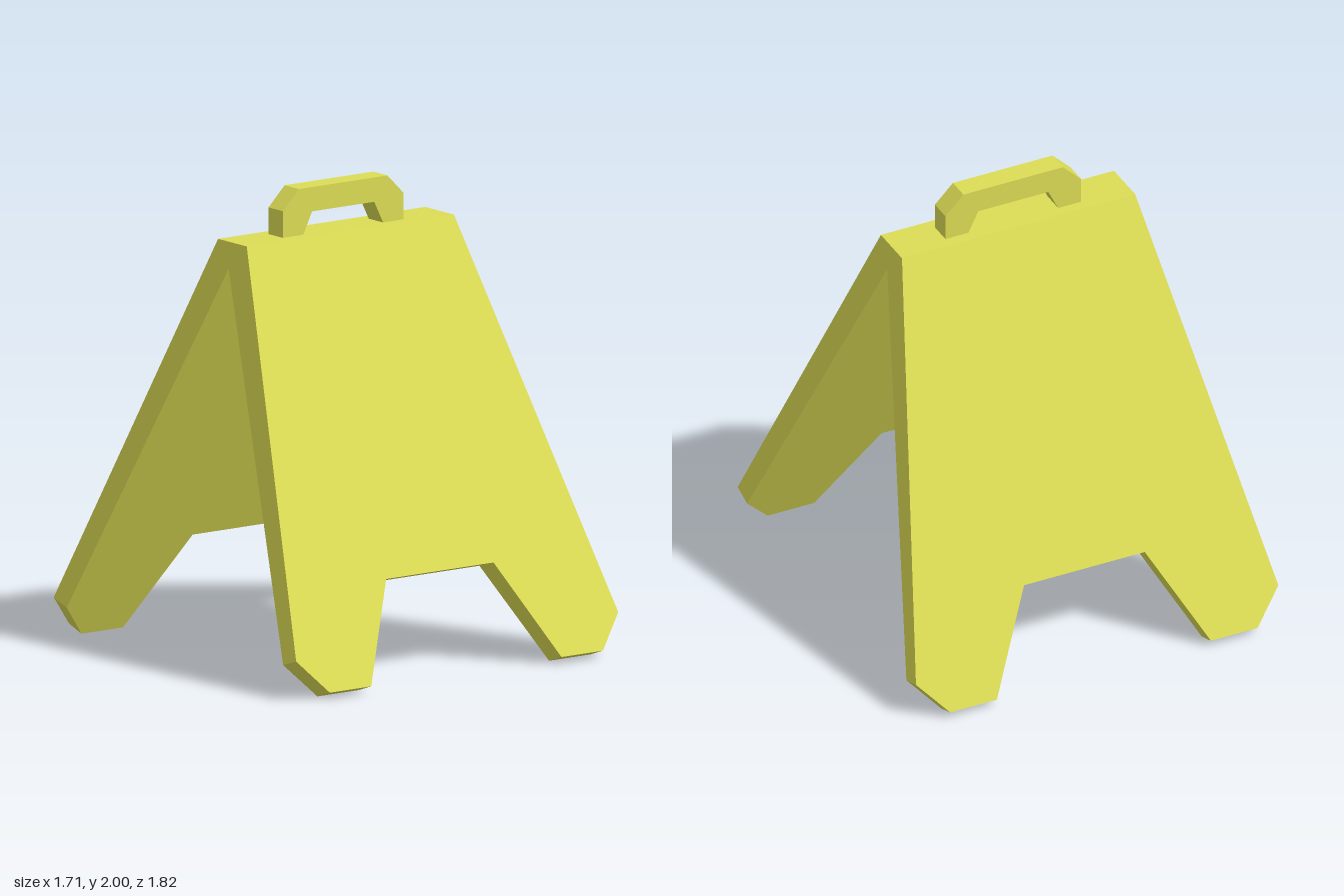
import * as THREE from 'three';

const yellow = new THREE.MeshStandardMaterial({ color: 0xdcdc55, flatShading: true });

// Closed shape from the right half of an outline, mirrored across x = 0
function mirroredShape(half) {
  const left = half.map(([x, y]) => [-x, y]).reverse();
  return new THREE.Shape([...half, ...left].map(([x, y]) => new THREE.Vector2(x, y)));
}

// Extrude a shape and move every vertex by a rule
function shaped(shape, depth, rule) {
  const geo = new THREE.ExtrudeGeometry(shape, { depth, bevelEnabled: false });
  const pos = geo.attributes.position;
  for (let i = 0; i < pos.count; i++) {
    pos.setXYZ(i, ...rule(pos.getX(i), pos.getY(i), pos.getZ(i)));
  }
  geo.computeVertexNormals();
  return geo;
}

function addMesh(group, name, geo) {
  const mesh = new THREE.Mesh(geo, yellow);
  mesh.name = name;
  group.add(mesh);
  return mesh;
}

export function createModel() {
  const group = new THREE.Group();
  group.name = 'foldingFloorSign';

  // Leaning panel with two feet; z 1 is the outer face, z 0 the inner face
  const outline = mirroredShape([
    [0.285, 0.435], [0.505, 0.03], [0.725, 0.03], [0.855, 0.17], [0.55, 1.8],
  ]);
  const panel = shaped(outline, 1, (x, y, z) => {
    if (z > 0.5) return [x, y, 0.1 + (1.8 - y) * 0.457];
    if (y > 1) return [Math.sign(x) * 0.57, 1.69, 0];
    return [x, y - 0.03, (1.72 - y) * 0.4865];
  });
  addMesh(group, 'frontPanel', panel);
  addMesh(group, 'backPanel', panel).rotation.y = Math.PI;

  // Wedge that joins the panels under the flat top
  const wedge = new THREE.Shape([
    new THREE.Vector2(-0.1, 1.8), new THREE.Vector2(0, 1.69), new THREE.Vector2(0.1, 1.8),
  ]);
  addMesh(group, 'topRidge', shaped(wedge, 1, (x, y, z) => {
    const halfWidth = y < 1.75 ? 0.57 : 0.55;
    return [(z > 0.5 ? 1 : -1) * halfWidth, y, -x];
  }));

  // Carrying handle with chamfered corners
  const arch = mirroredShape([[0.165, 1.895], [0.212, 1.8], [0.32, 1.8], [0.32, 1.915], [0.235, 2]]);
  addMesh(group, 'handle', shaped(arch, 0.1, (x, y, z) => [x, y, z - 0.05]));

  return group;
}
